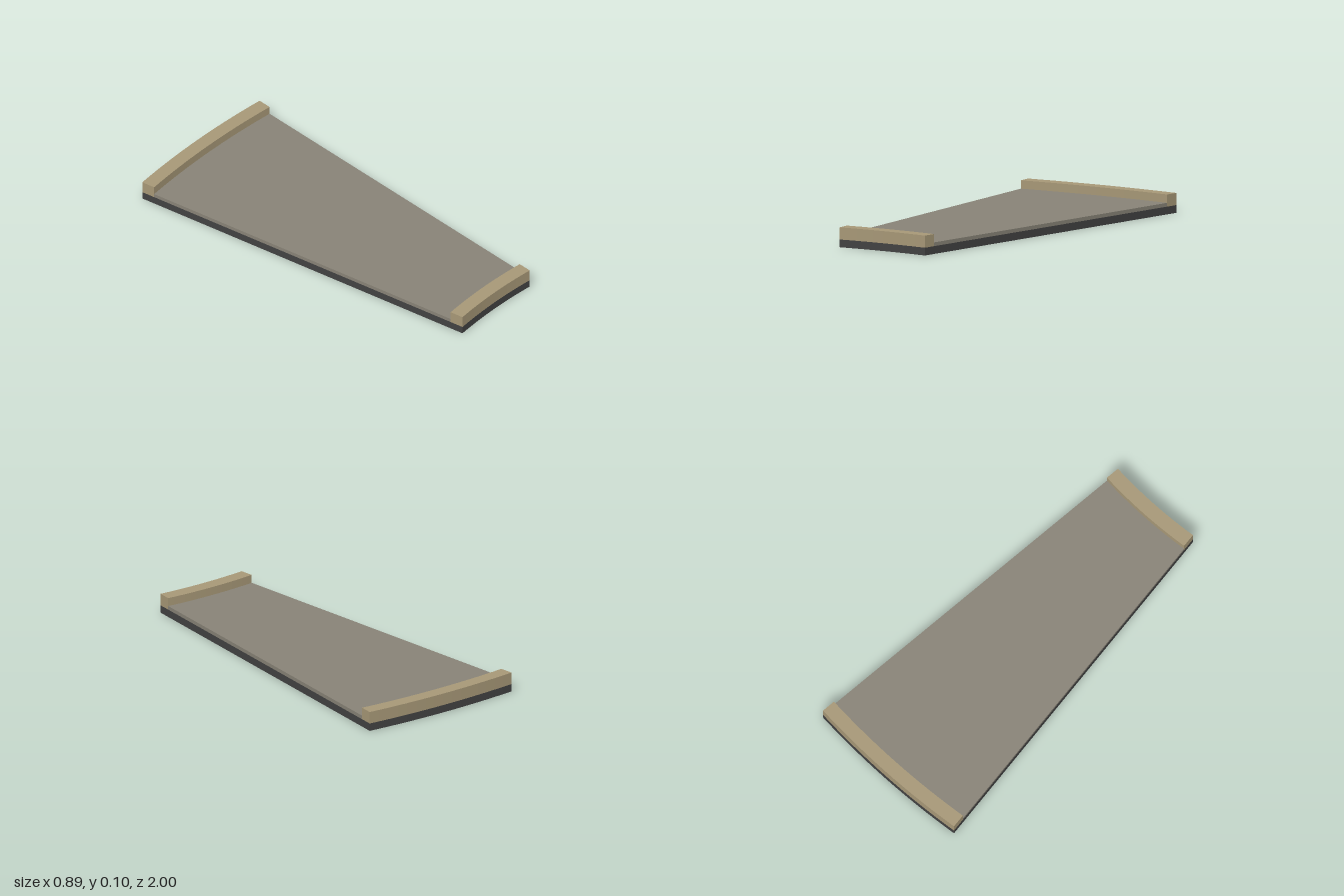
import * as THREE from 'three';

// The slab is a sector of a ring whose centre lies in front of it.
const CENTRE_X = -0.445, CENTRE_Z = 3.56;
const START = Math.PI / 2, END = START - Math.PI / 16;
const INNER = 2.614, OUTER = 4.56, CURB = 0.072;

function flatMaterial(name, color) {
  const material = new THREE.MeshStandardMaterial({ color });
  material.name = name;
  return material;
}

// A ring sector between two radii, standing from y0 to y1.
function sector(name, r0, r1, y0, y1, material) {
  const shape = new THREE.Shape();
  shape.absarc(CENTRE_X, -CENTRE_Z, r1, START, END, true);
  shape.absarc(CENTRE_X, -CENTRE_Z, r0, END, START, false);
  shape.closePath();
  const geometry = new THREE.ExtrudeGeometry(shape, {
    depth: y1 - y0, bevelEnabled: false, curveSegments: 8,
  });
  geometry.rotateX(-Math.PI / 2).translate(0, y0, 0);
  const mesh = new THREE.Mesh(geometry, material);
  mesh.name = name;
  return mesh;
}

export function createModel() {
  const group = new THREE.Group();
  group.name = 'curvedRoadSection';
  const base = flatMaterial('darkBase', 0x424242);
  const paving = flatMaterial('greyPaving', 0x888377);
  const stone = flatMaterial('tanStone', 0xa79877);

  group.add(
    sector('base', INNER, OUTER, 0, 0.039, base),
    sector('deck', INNER + CURB, OUTER - CURB, 0.039, 0.058, paving),
    sector('innerCurb', INNER, INNER + CURB, 0.039, 0.1, stone),
    sector('outerCurb', OUTER - CURB, OUTER, 0.039, 0.1, stone),
  );
  return group;
}
